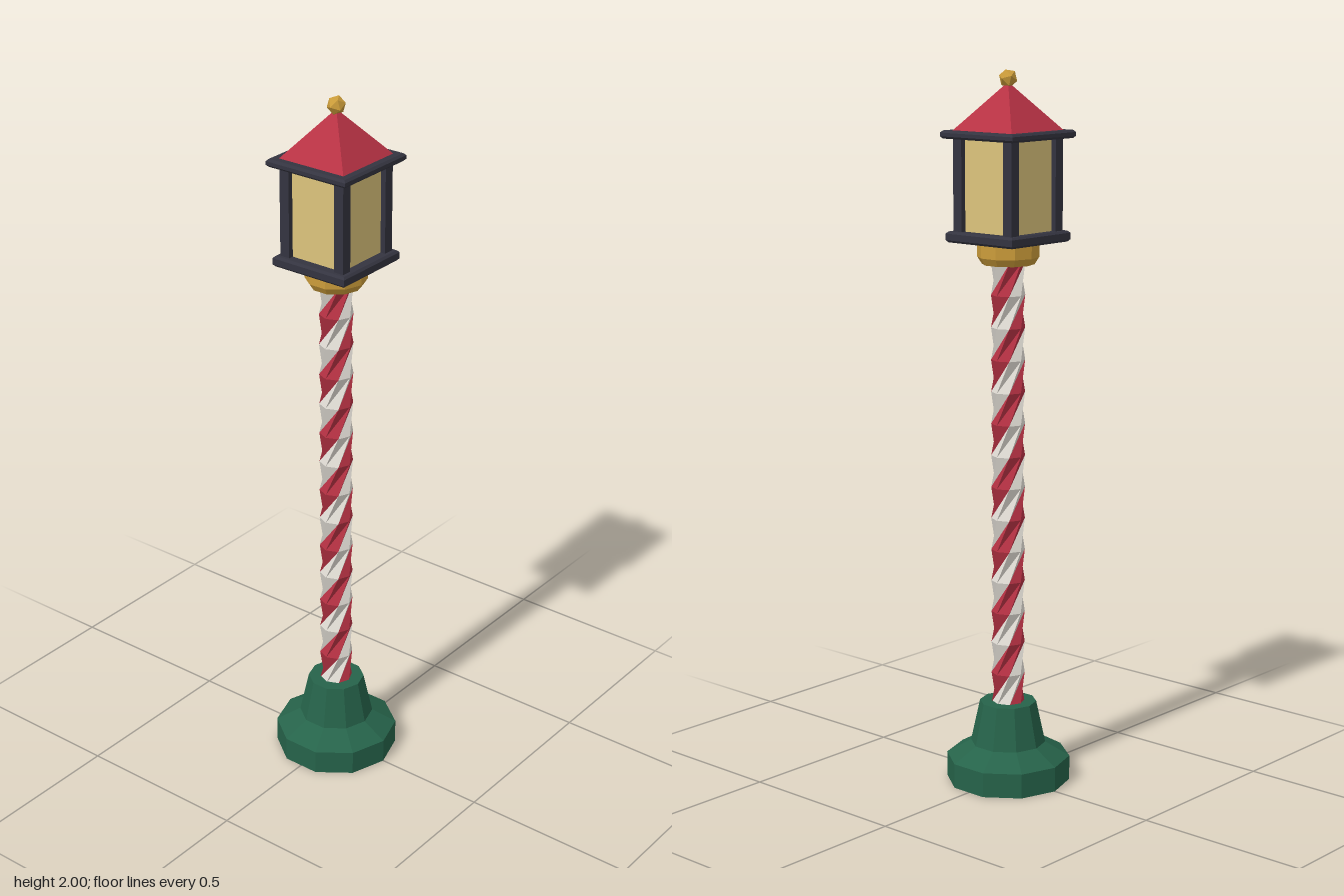
import * as THREE from 'three';

const mat = (name, color) => {
  const m = new THREE.MeshStandardMaterial({ color, flatShading: true });
  m.name = name;
  return m;
};

export function createModel() {
  const green = mat('green', 0x26634a), red = mat('red', 0xb83244), white = mat('white', 0xe4e0d8);
  const gold = mat('gold', 0xcb9c3a), dark = mat('dark iron', 0x343440), glow = mat('glass', 0xdcc47c);
  const model = new THREE.Group();
  const add = (name, geometry, material, x = 0, y = 0, z = 0) => {
    const mesh = new THREE.Mesh(geometry, material);
    mesh.name = name;
    mesh.position.set(x, y, z);
    model.add(mesh);
    return mesh;
  };

  // Ten-sided turned parts, with a corner on the x axis
  const turned = (pts) =>
    new THREE.LatheGeometry(pts.map(([r, y]) => new THREE.Vector2(r, y)), 10).rotateY(Math.PI / 2).toNonIndexed();
  add('base', turned([[0, 0], [0.175, 0], [0.175, 0.07], [0.106, 0.11], [0.08, 0.23], [0, 0.23]]), green);
  add('collar', turned([[0, 1.475], [0.072, 1.475], [0.085, 1.495], [0.085, 1.54], [0, 1.54]]), gold);

  // Twisted eight-sided pole: two red and two white stripes, a quarter turn per ring
  const rings = 14, y0 = 0.225, y1 = 1.48, radius = 0.047;
  const point = (i, j) => {
    const a = -Math.PI / 4 + (j * Math.PI) / 4 + (i * Math.PI) / 2;
    return [radius * Math.sin(a), y0 + ((y1 - y0) * i) / rings, radius * Math.cos(a)];
  };
  const stripes = { white: [], red: [] };
  for (let i = 0; i < rings; i++) {
    for (let j = 0; j < 8; j++) {
      const a = point(i, j), b = point(i, j + 1), c = point(i + 1, j + 1), d = point(i + 1, j);
      stripes[j % 4 < 2 ? 'white' : 'red'].push(...a, ...b, ...d, ...b, ...c, ...d);
    }
  }
  for (const [name, positions] of Object.entries(stripes)) {
    const g = new THREE.BufferGeometry();
    g.setAttribute('position', new THREE.Float32BufferAttribute(positions, 3));
    g.computeVertexNormals();
    add(name + 'PoleStripes', g, name === 'red' ? red : white);
  }

  // Square lantern plates with a small bevel
  const plate = (half, bottom, top) => {
    const bevel = 0.006, s = half - bevel;
    const shape = new THREE.Shape();
    shape.moveTo(-s, -s).lineTo(s, -s).lineTo(s, s).lineTo(-s, s).closePath();
    return new THREE.ExtrudeGeometry(shape, {
      depth: top - bottom - 2 * bevel, bevelEnabled: true, bevelSize: bevel, bevelThickness: bevel, bevelSegments: 1,
    }).rotateX(-Math.PI / 2).translate(0, bottom + bevel, 0);
  };
  add('lanternFloor', plate(0.12, 1.535, 1.565), dark);
  add('lanternEave', plate(0.13, 1.815, 1.837), dark);

  // Glass body and corner posts
  add('lanternGlass', new THREE.BoxGeometry(0.18, 0.26, 0.18), glow, 0, 1.69, 0);
  for (const x of [-0.09, 0.09]) {
    for (const z of [-0.09, 0.09]) add('lanternPost', new THREE.BoxGeometry(0.03, 0.26, 0.03), dark, x, 1.69, z);
  }

  // Pyramid roof and faceted finial
  const roof = new THREE.ConeGeometry(0.107 * Math.SQRT2, 0.13, 4).rotateY(Math.PI / 4);
  add('roof', roof, red, 0, 1.9, 0);
  const finial = add('finial', new THREE.IcosahedronGeometry(0.026, 0), gold, 0, 1.975, 0);
  finial.rotation.x = Math.atan(2 / (1 + Math.sqrt(5)));

  return model;
}
